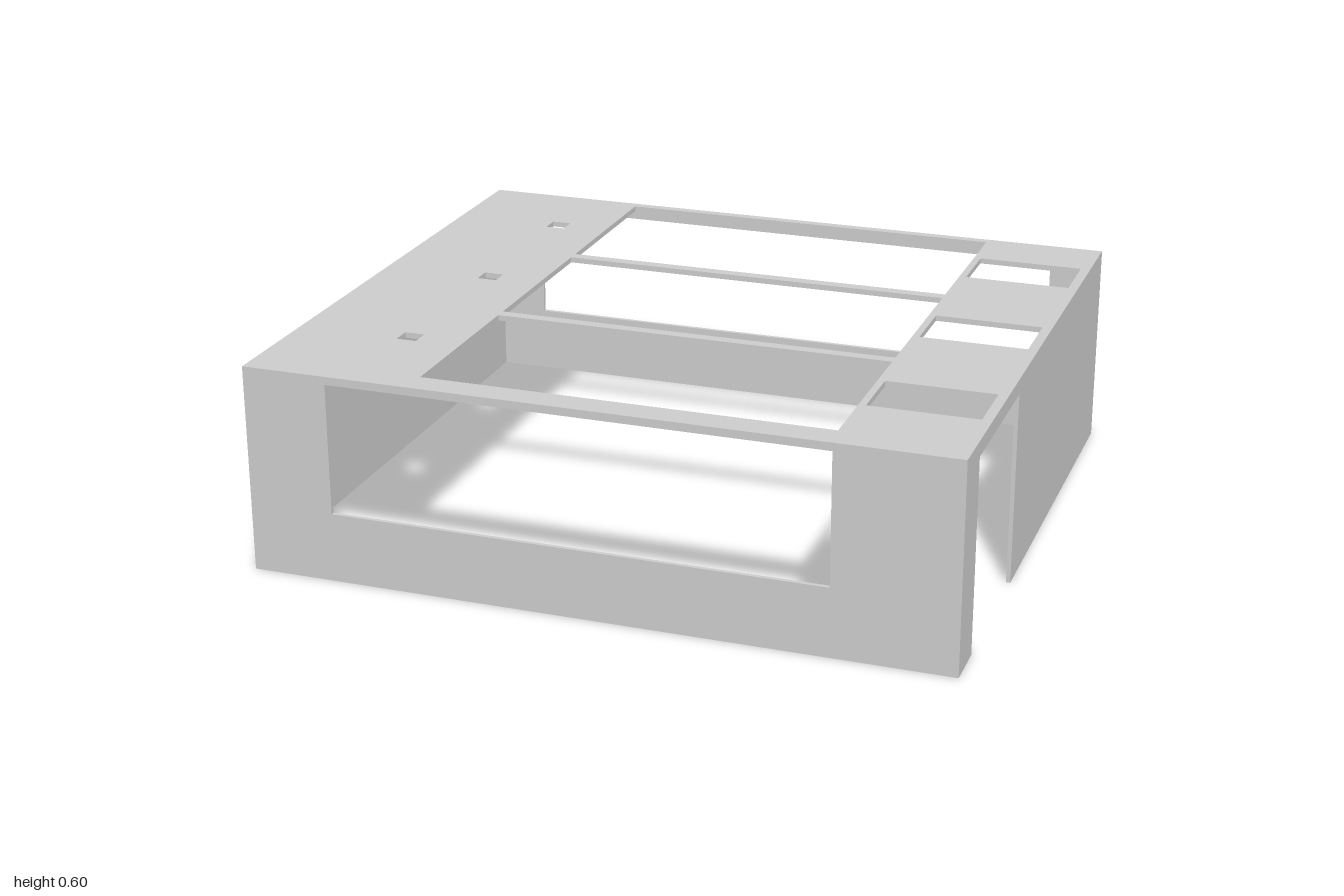
import * as THREE from 'three';

const W = 1, D = 0.875, H = 0.6;   // half width, half depth, height
const T = 0.012, TOP = 0.016;      // wall and top plate thickness

const material = new THREE.MeshStandardMaterial({ color: 0xcccccc, flatShading: true });

const toPoints = (pairs) => pairs.map(([x, y]) => new THREE.Vector2(x, y));
const rect = (x0, x1, y0, y1) => toPoints([[x0, y0], [x1, y0], [x1, y1], [x0, y1]]);

// Flat panel with rectangular openings, extruded along +z
function panel(name, outline, holes, depth) {
  const shape = new THREE.Shape(outline);
  for (const h of holes) shape.holes.push(new THREE.Path(rect(...h)));
  const geometry = new THREE.ExtrudeGeometry(shape, { depth, bevelEnabled: false });
  const mesh = new THREE.Mesh(geometry, material);
  mesh.name = name;
  return mesh;
}

export function createModel() {
  const model = new THREE.Group();
  model.name = 'openFrameHousing';
  const wallTop = H - TOP;

  // Front and back walls, each with a wide window
  const front = panel('frontWall', rect(-W, W, 0, wallTop), [[-0.755, 0.655, 0.2, 0.577]], T);
  front.position.z = D - T;
  const back = panel('backWall', rect(-W, W, 0, wallTop), [[-0.845, 0.845, 0.2, 0.553]], T);
  back.position.z = -D;

  // Solid right wall
  const inner = D - T;
  const right = panel('rightWall', rect(-inner, inner, 0, wallTop), [], T);
  right.rotation.y = -Math.PI / 2;
  right.position.x = -W + T;

  // Left wall with a doorway open at the bottom (shape x runs along z)
  const left = panel('leftWall', toPoints([
    [-inner, 0], [0.28, 0], [0.28, 0.555], [0.738, 0.555], [0.738, 0],
    [inner, 0], [inner, wallTop], [-inner, wallTop],
  ]), [], T);
  left.rotation.y = -Math.PI / 2;
  left.position.x = W;

  // Top plate: three bays, each with a large window, a small square hole and a side slot
  const holes = [];
  for (const z of [-0.585, -0.027, 0.53]) {
    holes.push([-0.512, 0.645, -z - 0.262, -z + 0.262]);
  }
  for (const z of [-0.58, -0.043, 0.513]) {
    holes.push([-0.7, -0.642, -z - 0.028, -z + 0.028]);
  }
  for (const z of [-0.592, -0.042, 0.508]) {
    holes.push([0.665, 0.972, -z - 0.094, -z + 0.094]);
  }
  const top = panel('topPlate', rect(-W, W, -D, D), holes, TOP);
  top.rotation.x = -Math.PI / 2;
  top.position.y = wallTop;

  model.add(front, back, right, left, top);
  return model;
}
